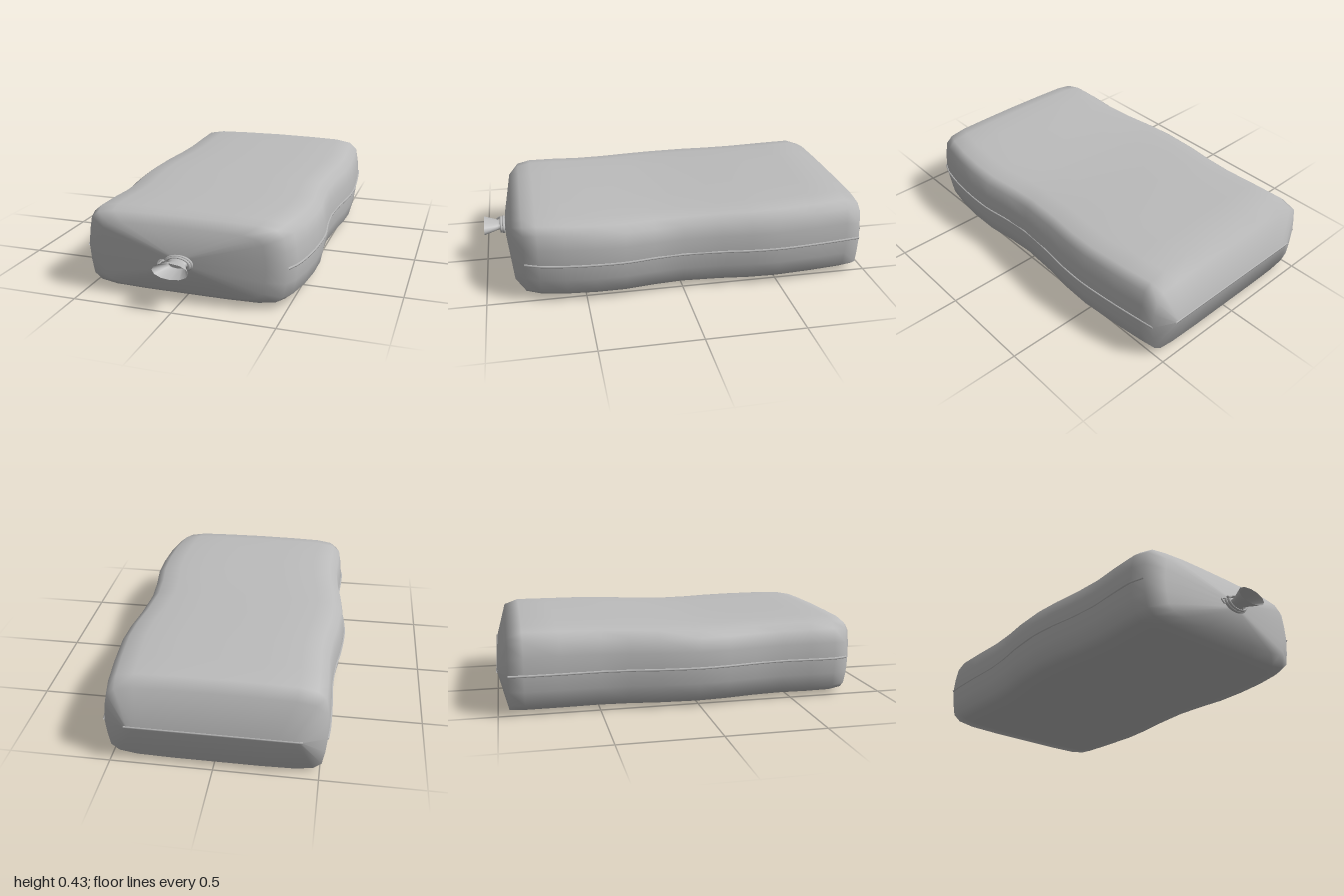
import * as THREE from 'three';

const MID = 0.205; // height of the side seams

// Lengthwise stations of the sack: z, left-of-picture x, right x, bottom y, top y
const STATIONS = [
  [-0.995, -0.42, 0.42, 0.2, 0.21],
  [-0.945, -0.53, 0.525, 0.005, 0.4],
  [-0.87, -0.535, 0.535, 0.0, 0.428],
  [-0.7, -0.535, 0.555, 0.0, 0.424],
  [-0.5, -0.53, 0.57, 0.0, 0.42],
  [-0.35, -0.54, 0.565, 0.0, 0.415],
  [-0.2, -0.56, 0.548, 0.0, 0.409],
  [0.0, -0.572, 0.537, 0.0, 0.402],
  [0.15, -0.56, 0.548, 0.0, 0.402],
  [0.3, -0.537, 0.568, 0.0, 0.405],
  [0.45, -0.525, 0.568, 0.0, 0.408],
  [0.6, -0.53, 0.555, 0.0, 0.411],
  [0.73, -0.53, 0.53, 0.002, 0.411],
  [0.8, -0.51, 0.5, 0.01, 0.4],
  [0.852, -0.42, 0.41, 0.045, 0.362],
  [0.888, -0.07, 0.075, 0.165, 0.245],
];

// Quarter of the pillow-like cross-section, from the side to the crown
const QUARTER = [[1, 0], [0.985, 0.4], [0.96, 0.75], [0.885, 0.91], [0.72, 0.98], [0.4, 1], [0, 1.01]];

function sectionLoop() {
  const q = QUARTER;
  const upper = [...q, ...q.slice(0, -1).reverse().map(([u, v]) => [-u, v])];
  const lower = upper.slice(1, -1).reverse().map(([u, v]) => [u, -Math.min(v, 1)]);
  return [...upper, ...lower];
}

// Closed skin through the stations
function sackGeometry() {
  const loop = sectionLoop();
  const n = loop.length;
  const pos = [];
  const index = [];
  STATIONS.forEach(([z, xl, xr, yb, yt], i) => {
    const cx = (xl + xr) / 2;
    const hw = (xr - xl) / 2;
    for (const [u, v] of loop) {
      pos.push(cx + u * hw, MID + v * (v > 0 ? yt - MID : MID - yb), z);
    }
    if (i === 0) return;
    for (let j = 0; j < n; j++) {
      const a = (i - 1) * n + j;
      const b = (i - 1) * n + ((j + 1) % n);
      index.push(a, b, b + n, a, b + n, a + n);
    }
  });
  // Front cap behind the tied neck
  const last = (STATIONS.length - 1) * n;
  const centre = pos.length / 3;
  pos.push(0, MID, 0.89);
  for (let j = 0; j < n; j++) index.push(last + j, last + ((j + 1) % n), centre);
  const g = new THREE.BufferGeometry();
  g.setAttribute('position', new THREE.Float32BufferAttribute(pos, 3));
  g.setIndex(index);
  g.computeVertexNormals();
  return g;
}

export function createModel() {
  const group = new THREE.Group();
  const cloth = new THREE.MeshStandardMaterial({ color: 0xbcbcbc, side: THREE.DoubleSide });
  cloth.name = 'grey cloth';

  const add = (name, geometry) => {
    const mesh = new THREE.Mesh(geometry, cloth);
    mesh.name = name;
    group.add(mesh);
    return mesh;
  };
  const tube = (points, radius, steps) =>
    new THREE.TubeGeometry(
      new THREE.CatmullRomCurve3(points.map((p) => new THREE.Vector3(...p))), steps, radius, 5);

  add('sackBody', sackGeometry());

  // Thin seams along both sides and across the back
  const run = STATIONS.slice(1, -2);
  add('rightSeam', tube(run.map((s) => [s[1], MID, s[0]]), 0.006, 60));
  add('leftSeam', tube(run.map((s) => [s[2], MID, s[0]]), 0.006, 60));
  add('backSeam', tube([[-0.42, MID, -0.994], [0, MID, -0.994], [0.42, MID, -0.994]], 0.006, 8));

  // Gathered neck: open flare, flattened in height
  const profile = [[0.072, 0.884], [0.045, 0.91], [0.05, 0.93], [0.09, 1.0]];
  const flare = new THREE.LatheGeometry(profile.map(([r, z]) => new THREE.Vector2(r, z)), 12);
  flare.rotateX(Math.PI / 2);
  flare.scale(1, 0.45, 1);
  flare.translate(0, MID, 0);
  add('neckFlare', flare);

  // Cord around the neck, two turns
  [[0.066, 0.897], [0.06, 0.91]].forEach(([r, z]) => {
    const ring = new THREE.TorusGeometry(r, 0.008, 6, 24);
    ring.scale(1, 0.58, 1);
    ring.translate(0, MID, z);
    add('neckCord', ring);
  });

  // Loose cord ends beside the knot
  add('cordEnd', tube([[-0.055, 0.21, 0.905], [-0.085, 0.212, 0.895], [-0.1, 0.2, 0.9], [-0.096, 0.168, 0.915]], 0.005, 12));
  add('cordEnd', tube([[-0.055, 0.21, 0.905], [-0.075, 0.215, 0.915], [-0.085, 0.2, 0.935], [-0.09, 0.19, 0.945]], 0.005, 12));

  return group;
}
